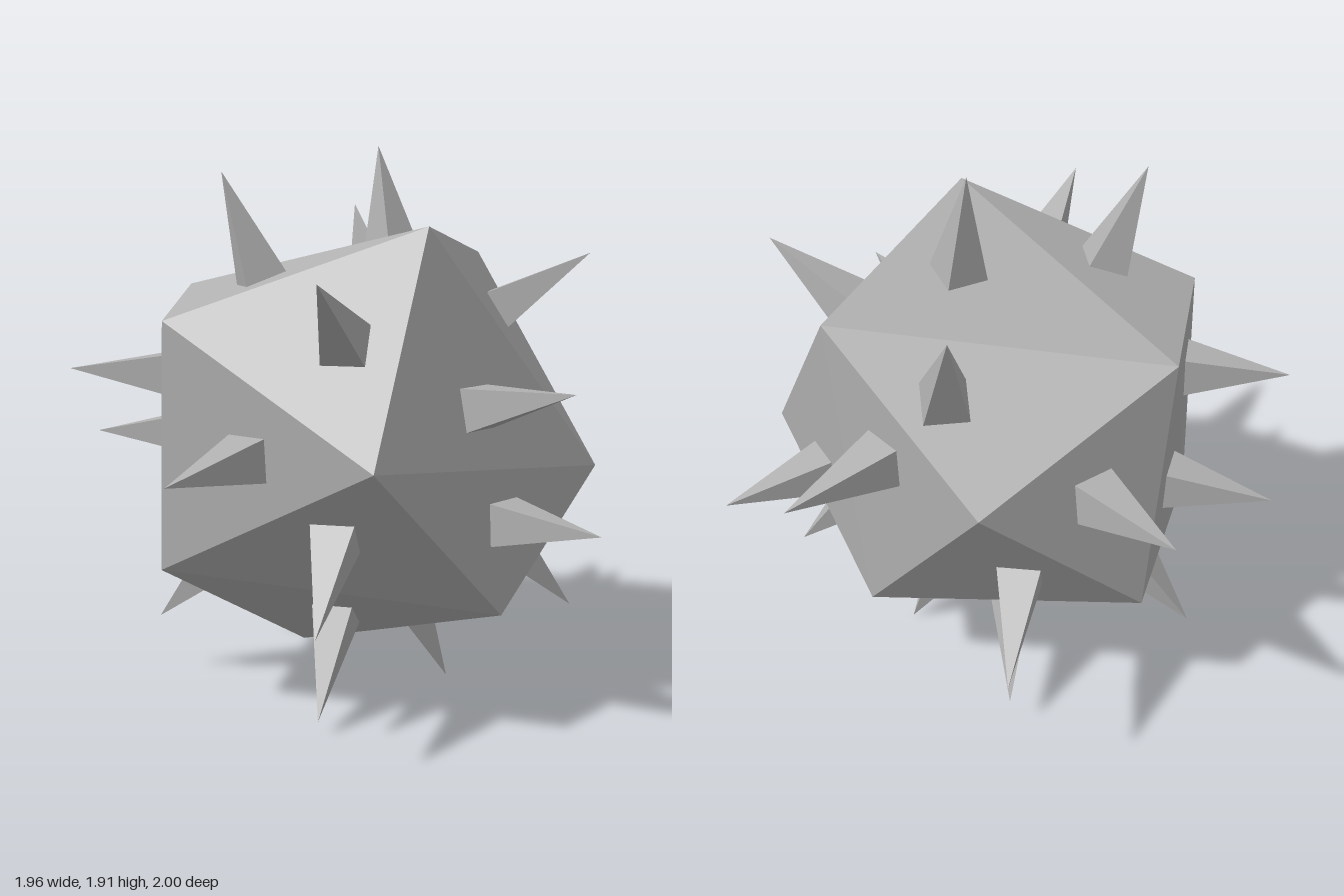
import * as THREE from 'three';
import { ConvexGeometry } from 'three/addons/geometries/ConvexGeometry.js';

const V = (p) => new THREE.Vector3(...p);

export function createModel() {
  const model = new THREE.Group();
  const stone = new THREE.MeshStandardMaterial({ color: 0xb0b0b0, flatShading: true });
  stone.name = 'stone grey';

  // Core: an irregular twenty-sided rock
  const corners = [
    [-0.16, 1.64, 0.45], [0.64, 1.54, 0.10], [0.52, 0.82, 0.68], [-0.02, 0.41, 0.65],
    [-0.58, 0.95, 0.57], [-0.67, 1.35, -0.20], [-0.62, 0.52, -0.29], [-0.06, 0.16, -0.16],
    [0.61, 0.46, 0.0], [0.04, 0.64, -0.73], [0.60, 1.22, -0.60], [-0.15, 1.43, -0.62],
  ].map(V);
  const coreGeometry = new ConvexGeometry(corners);
  const core = new THREE.Mesh(coreGeometry, stone);
  core.name = 'core';
  model.add(core);

  // Planes of the core's faces
  const pos = coreGeometry.attributes.position;
  const planes = [];
  for (let i = 0; i < pos.count; i += 3) {
    const [a, b, c] = [0, 1, 2].map((k) => new THREE.Vector3().fromBufferAttribute(pos, i + k));
    planes.push(new THREE.Plane().setFromCoplanarPoints(a, b, c));
  }

  // Spikes: one four-sided pyramid per face, square to the face below its tip
  const tips = [
    [0.16, 1.91, 0.0], [-0.46, 1.81, -0.14], [0.57, 1.72, -0.44], [0.49, 1.55, 0.65],
    [-0.73, 1.49, 0.49], [0.98, 1.18, -0.18], [0.94, 0.84, 0.33], [-0.98, 0.92, 0.14],
    [-0.71, 0.47, 0.46], [0.55, 0.29, 0.58], [-0.40, 0.05, 0.20], [0.31, 0.0, 0.21],
    [0.37, 0.15, -0.46], [-0.10, 1.16, 0.94], [-0.03, 0.73, 1.0], [0.22, 1.18, -1.0],
    [-0.42, 0.90, -0.84], [-0.69, 1.17, -0.64], [0.60, 0.64, -0.73], [-0.34, 0.22, -0.62],
  ].map(V);
  const spikes = new THREE.Group();
  spikes.name = 'spikes';
  for (const tip of tips) {
    const face = planes.reduce((best, p) =>
      (p.distanceToPoint(tip) > best.distanceToPoint(tip) ? p : best));
    const height = face.distanceToPoint(tip) + 0.01;
    const geometry = new THREE.ConeGeometry(0.1, height, 4)
      .rotateY(Math.PI / 4)
      .translate(0, -height / 2, 0)
      .rotateX(Math.PI / 2);
    const spike = new THREE.Mesh(geometry, stone);
    spike.name = 'spike';
    spike.position.copy(tip);
    spike.lookAt(tip.clone().add(face.normal));
    spikes.add(spike);
  }
  model.add(spikes);
  return model;
}
